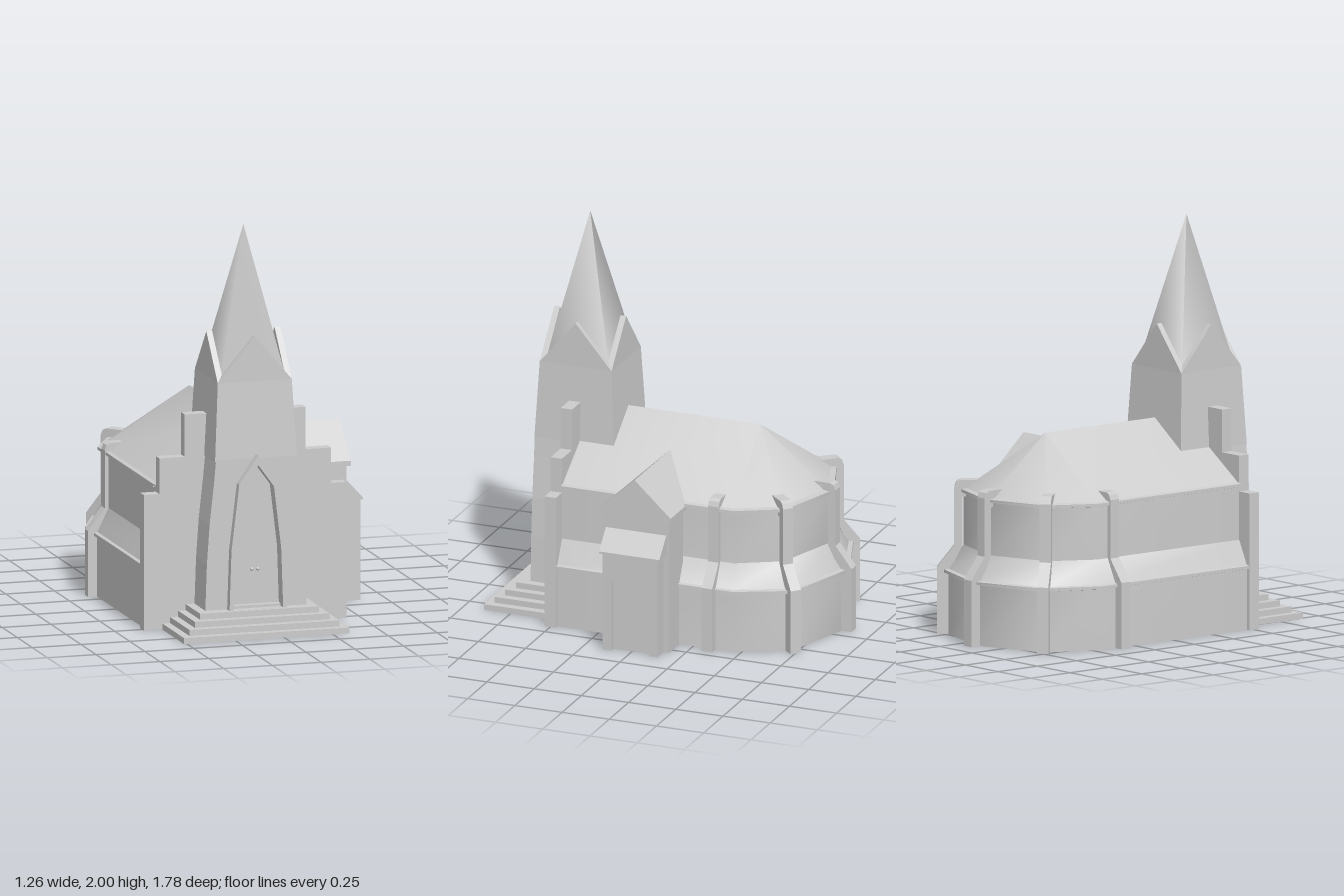
import * as THREE from 'three';
import { toCreasedNormals } from 'three/addons/utils/BufferGeometryUtils.js';

const material = new THREE.MeshStandardMaterial({ color: 0xcccccc, side: THREE.DoubleSide });

function add(parent, name, geometry, x = 0, y = 0, z = 0) {
  const mesh = new THREE.Mesh(geometry, material);
  mesh.name = name;
  mesh.position.set(x, y, z);
  parent.add(mesh);
  return mesh;
}

const box = (w, h, d) => new THREE.BoxGeometry(w, h, d);
const toShape = (pts) => new THREE.Shape(pts.map(([x, y]) => new THREE.Vector2(x, y)));
// Right half of an outline (bottom to top) mirrored into a closed outline
const mirrored = (half) => [
  ...half,
  ...half.filter(([x]) => x > 0).reverse().map(([x, y]) => [-x, y]),
];

function extrude(pts, depth, hole) {
  const shape = toShape(pts);
  if (hole) shape.holes.push(toShape(hole));
  return new THREE.ExtrudeGeometry(shape, { depth, bevelEnabled: false });
}

// Surface through rows of points, each row a list of [x, y, z]
function loft(rows, crease = 1) {
  const pos = [];
  const tri = (a, b, c) => {
    const v = [a, b, c].map((p) => new THREE.Vector3(...p));
    if (new THREE.Triangle(...v).getArea() > 1e-7) pos.push(...a, ...b, ...c);
  };
  for (let j = 0; j < rows.length - 1; j++) {
    for (let i = 0; i < rows[j].length - 1; i++) {
      const a = rows[j][i], b = rows[j][i + 1], c = rows[j + 1][i + 1], d = rows[j + 1][i];
      tri(a, b, c);
      tri(a, c, d);
    }
  }
  const g = new THREE.BufferGeometry();
  g.setAttribute('position', new THREE.Float32BufferAttribute(pos, 3));
  return toCreasedNormals(g, crease);
}

// Ground plan of the nave and apse: t = 0 lower wall, t = 1 upper wall
const LOWER = [[0.5, 0.47], [0.5, -0.46], [0.375, -0.72], [0, -0.85]];
const UPPER = [[0.44, 0.47], [0.44, -0.44], [0.32, -0.655], [0, -0.765]];
function plan(t, y) {
  const half = LOWER.map(([x, z], i) => [
    x + (UPPER[i][0] - x) * t, y, z + (UPPER[i][1] - z) * t,
  ]);
  return [...half, ...half.slice(0, 3).reverse().map(([x, h, z]) => [-x, h, z])];
}

function buildNave(parent) {
  const nave = new THREE.Group();
  nave.name = 'nave';
  parent.add(nave);
  add(nave, 'lowerWall', loft([plan(0, 0), plan(0, 0.32)]));
  add(nave, 'slopedWall', loft([plan(0, 0.32), plan(1, 0.44)]));
  add(nave, 'upperWall', loft([plan(1, 0.44), plan(1, 0.71)]));
  const ledge = (t, y) =>
    loft([plan(t + 0.1, y), plan(t - 0.25, y + 0.005), plan(t - 0.25, y + 0.02), plan(t + 0.1, y + 0.025)], 0.9);
  add(nave, 'lowerLedge', ledge(0, 0.3));
  add(nave, 'eavesLedge', ledge(1, 0.7));

  // Roof from the eaves to a ridge that ends in a hip over the apse
  const eaves = plan(0.95, 0.715);
  const ridge = eaves.map((p, i) => [0, 1.01, i === 0 || i === 6 ? 0.47 : -0.4]);
  add(nave, 'naveRoof', loft([eaves, ridge]));

  // Buttresses: profile is (distance outwards, height)
  const profile = [
    [-0.02, 0], [0.045, 0], [0.045, 0.33], [-0.04, 0.44], [-0.04, 0.73], [-0.05, 0.755],
    [-0.07, 0.765], [-0.2, 0.765], [-0.2, 0.71], [-0.08, 0.68], [-0.08, 0.44], [-0.02, 0.32],
  ];
  const g = extrude(profile, 0.056);
  g.translate(0, 0, -0.028);
  const spots = [[0.5, -0.34, 0], [0.375, -0.72, 0.85], [0, -0.85, Math.PI / 2],
    [-0.375, -0.72, Math.PI - 0.85], [-0.5, -0.34, Math.PI]];
  for (const [x, z, angle] of spots) add(nave, 'buttress', g, x, 0, z).rotation.y = angle;
}

function buildTower(parent) {
  const tower = new THREE.Group();
  tower.name = 'tower';
  parent.add(tower);
  const archOuter = mirrored([[0.148, 0.12], [0.138, 0.42], [0.098, 0.75], [0, 0.89]]);
  const archInner = mirrored([[0.127, 0.12], [0.117, 0.42], [0.08, 0.73], [0, 0.84]]);
  const archHole = mirrored([[0.127, 0.121], [0.117, 0.42], [0.08, 0.73], [0, 0.84]]);

  // Flared lower tower with the doorway cut in
  const flare = mirrored([[0.26, 0.12], [0.252, 0.35], [0.238, 0.55], [0.215, 0.76], [0.205, 0.87]]);
  add(tower, 'lowerTower', extrude(flare, 0.22, archHole), 0, 0, 0.49);
  add(tower, 'portalFrame', extrude(archOuter, 0.05, archHole), 0, 0, 0.7);
  add(tower, 'door', extrude(archInner, 0.02), 0, 0, 0.66);
  add(tower, 'doorSill', box(0.25, 0.015, 0.04), 0, 0.128, 0.695);
  for (const s of [-1, 1]) {
    add(tower, 'doorKnob', new THREE.SphereGeometry(0.009, 12, 8), s * 0.015, 0.31, 0.688);
  }

  // Tapered upper tower
  const upper = box(0.42, 0.39, 0.42);
  const p = upper.attributes.position;
  for (let i = 0; i < p.count; i++) {
    if (p.getY(i) > 0) p.setXYZ(i, p.getX(i) * 0.905, p.getY(i), p.getZ(i) * 0.905);
  }
  upper.computeVertexNormals();
  add(tower, 'upperTower', upper, 0, 1.055, 0.5);

  // A gable on each side and the spire between them
  const gable = extrude([[-0.19, 1.25], [0.19, 1.25], [0, 1.475]], 0.03);
  gable.translate(0, 0, 0.16);
  for (let i = 0; i < 4; i++) add(tower, 'towerGable', gable, 0, 0, 0.5).rotation.y = (i * Math.PI) / 2;
  const spire = new THREE.ConeGeometry(0.168 * Math.SQRT2, 0.75, 4);
  spire.rotateY(Math.PI / 4);
  add(tower, 'spire', spire, 0, 1.625, 0.5);
}

function buildTransept(parent) {
  const transept = new THREE.Group();
  transept.name = 'transept';
  parent.add(transept);
  // Extrudes a (z, y) outline along x between two positions
  const alongX = (pts, x0, x1, hole) => {
    const g = extrude(pts, x1 - x0, hole);
    g.rotateY(Math.PI / 2);
    g.translate(x0, 0, 0);
    return g;
  };
  add(transept, 'transeptWall', alongX(mirrored([[0.175, 0], [0.175, 0.69], [0, 0.865]]), 0.36, 0.54));

  // Gable roof, its inner end cut along the slope of the nave roof
  const roof = alongX(
    [[0.19, 0.685], [0.19, 0.71], [0, 0.885], [-0.19, 0.71], [-0.19, 0.685], [-0.17, 0.685], [0, 0.85], [0.17, 0.685]],
    0.09, 0.558);
  const p = roof.attributes.position;
  for (let i = 0; i < p.count; i++) {
    if (p.getX(i) < 0.1) p.setX(i, 0.09 + (0.885 - p.getY(i)) * 1.35);
  }
  roof.computeVertexNormals();
  add(transept, 'transeptRoof', roof);

  // Side porch with a recessed door under a lean-to roof
  add(transept, 'porchBody', box(0.08, 0.51, 0.29), 0.55, 0.255, 0);
  add(transept, 'porchFront', alongX(
    [[-0.145, 0], [-0.1, 0], [-0.1, 0.37], [0.1, 0.37], [0.1, 0], [0.145, 0], [0.145, 0.51], [-0.145, 0.51]],
    0.59, 0.62));
  add(transept, 'porchRoof',
    extrude([[0.53, 0.505], [0.63, 0.505], [0.63, 0.515], [0.54, 0.612], [0.53, 0.612]], 0.32), 0, 0, -0.16);
}

export function createModel() {
  const model = new THREE.Group();
  model.name = 'church';
  const main = new THREE.Group();
  main.name = 'mainBuilding';
  main.position.x = -0.09;
  model.add(main);

  buildNave(main);
  buildTower(main);
  buildTransept(model);

  // Stepped front wall
  const facade = mirrored([[0.52, 0], [0.52, 0.68], [0.44, 0.68], [0.44, 0.858], [0.31, 0.858], [0.31, 1.07]]);
  add(main, 'facade', extrude(facade, 0.06), 0, 0, 0.47);

  // Entrance steps
  for (let i = 0; i < 4; i++) {
    const depth = 0.36 - i * 0.04;
    add(main, 'step', box(0.85 - i * 0.08, 0.03, depth), 0, 0.015 + i * 0.03, 0.53 + depth / 2);
  }
  return model;
}
